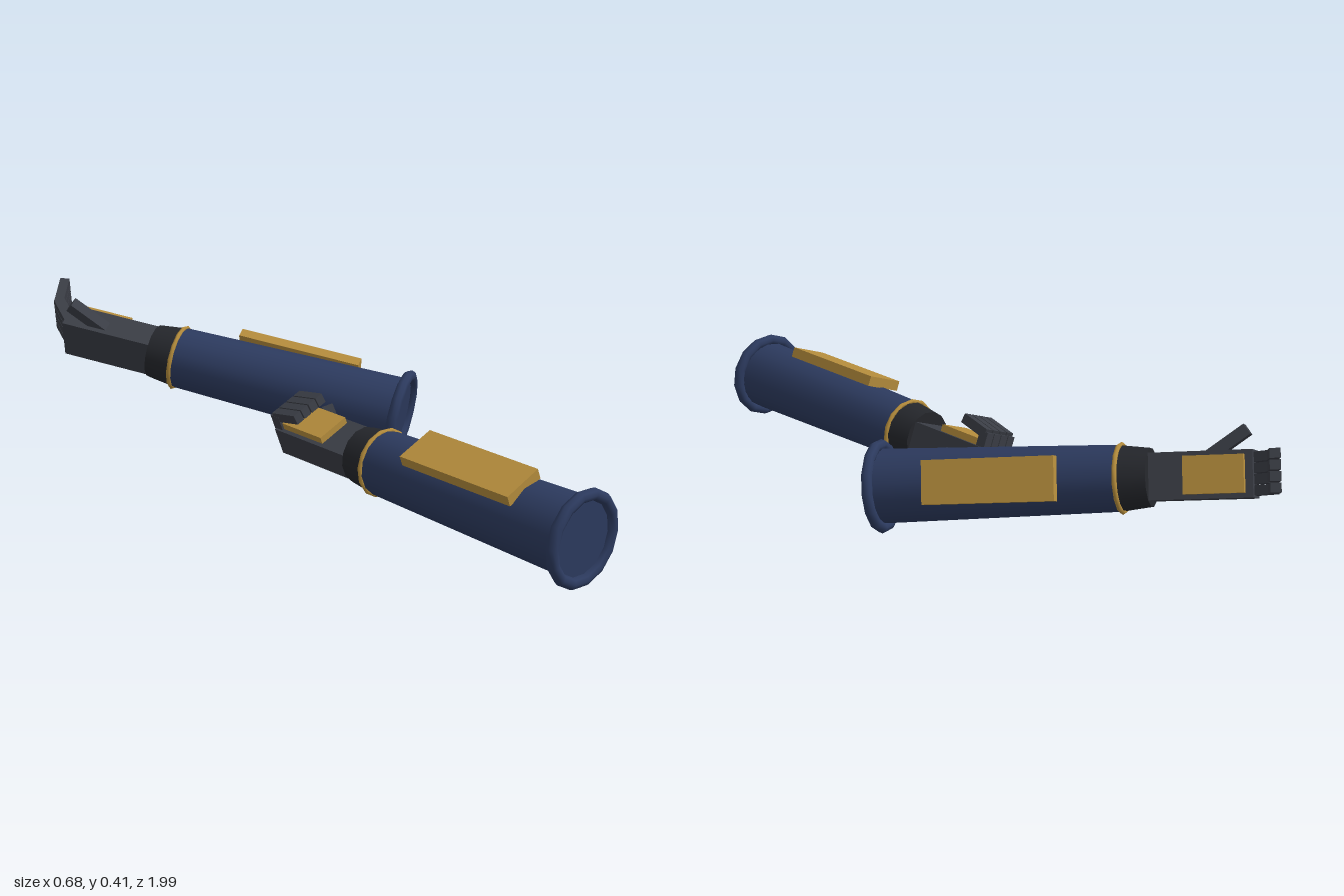
import * as THREE from 'three';

const mat = (color) => new THREE.MeshStandardMaterial({ color });
const navy = mat(0x2c3a5e), gold = mat(0xb48c3c), cuffDark = mat(0x24262b), gloveGrey = mat(0x3a3d45);
const SIDES = 14;

function add(parent, name, geometry, material, x = 0, y = 0, z = 0) {
  const mesh = new THREE.Mesh(geometry, material);
  mesh.name = name;
  mesh.position.set(x, y, z);
  parent.add(mesh);
  return mesh;
}

// tapered tube running along -z from z = -s0 to z = -s1
function taper(parent, name, r0, r1, s0, s1, material) {
  const geometry = new THREE.CylinderGeometry(r1, r0, s1 - s0, SIDES).rotateX(-Math.PI / 2);
  return add(parent, name, geometry, material, 0, 0, -(s0 + s1) / 2);
}

// square bar between two points, kept level with the hand
function bar(parent, name, from, to, width, height, material) {
  const dir = to.clone().sub(from);
  const mid = from.clone().add(to).multiplyScalar(0.5);
  const mesh = add(parent, name, new THREE.BoxGeometry(width, height, dir.length()), material, mid.x, mid.y, mid.z);
  mesh.rotation.order = 'YXZ';
  mesh.rotation.y = Math.atan2(-dir.x, -dir.z);
  mesh.rotation.x = Math.atan2(dir.y, Math.hypot(dir.x, dir.z));
  return mesh;
}

// one finger of two joints, bent upwards by the two given angles
function finger(parent, x, bend1, bend2) {
  const group = new THREE.Group();
  group.name = 'finger';
  group.position.set(x, -0.01, -1.03);
  const knuckle = new THREE.Group();
  knuckle.rotation.x = bend1;
  add(knuckle, 'fingerBase', new THREE.BoxGeometry(0.026, 0.032, 0.1), gloveGrey, 0, 0, -0.046);
  const joint = new THREE.Group();
  joint.position.z = -0.092;
  joint.rotation.x = bend2 - bend1;
  add(joint, 'fingerTip', new THREE.BoxGeometry(0.025, 0.028, 0.1), gloveGrey, 0, 0, -0.045);
  knuckle.add(joint);
  group.add(knuckle);
  parent.add(group);
}

// forearm and hand pointing along -z; thumbSide is +1 or -1
function arm(name, thumbSide, bend1, bend2) {
  const group = new THREE.Group();
  group.name = name;
  group.rotation.order = 'YXZ';

  // sleeve with rolled opening, wrist trim and cuff
  taper(group, 'sleeve', 0.105, 0.09, 0, 0.69, navy);
  add(group, 'sleeveRim', new THREE.TorusGeometry(0.115, 0.016, 8, SIDES), navy);
  add(group, 'wristTrim', new THREE.TorusGeometry(0.09, 0.007, 6, SIDES), gold, 0, 0, -0.685);
  taper(group, 'cuff', 0.089, 0.079, 0.685, 0.765, cuffDark);

  // armour plates
  add(group, 'forearmPlate', new THREE.BoxGeometry(0.12, 0.03, 0.37), gold, 0, 0.105, -0.345);
  add(group, 'handPlate', new THREE.BoxGeometry(0.1, 0.024, 0.16), gold, 0, 0.05, -0.94);

  // hand
  add(group, 'palm', new THREE.BoxGeometry(0.125, 0.084, 0.3), gloveGrey, 0, 0, -0.89);
  for (let i = 0; i < 4; i++) finger(group, (i - 1.5) * 0.029, bend1, bend2);
  bar(group, 'thumb', new THREE.Vector3(0.045 * thumbSide, -0.01, -0.91),
    new THREE.Vector3(0.118 * thumbSide, -0.012, -1.02), 0.032, 0.034, gloveGrey);
  return group;
}

export function createModel() {
  const model = new THREE.Group();
  model.name = 'gauntletArms';
  const rad = THREE.MathUtils.degToRad;

  // near arm with closed fingers
  const near = arm('nearArm', 1, rad(90), rad(168));
  near.position.set(-0.091, 0.145, 0.984);
  near.rotation.z = rad(21);

  // far arm, reaching out with half open fingers
  const far = arm('farArm', -1, rad(46), rad(76));
  far.position.set(0.228, 0.134, 0.05);
  far.rotation.set(rad(9), rad(30), rad(-66));

  model.add(near, far);
  return model;
}
